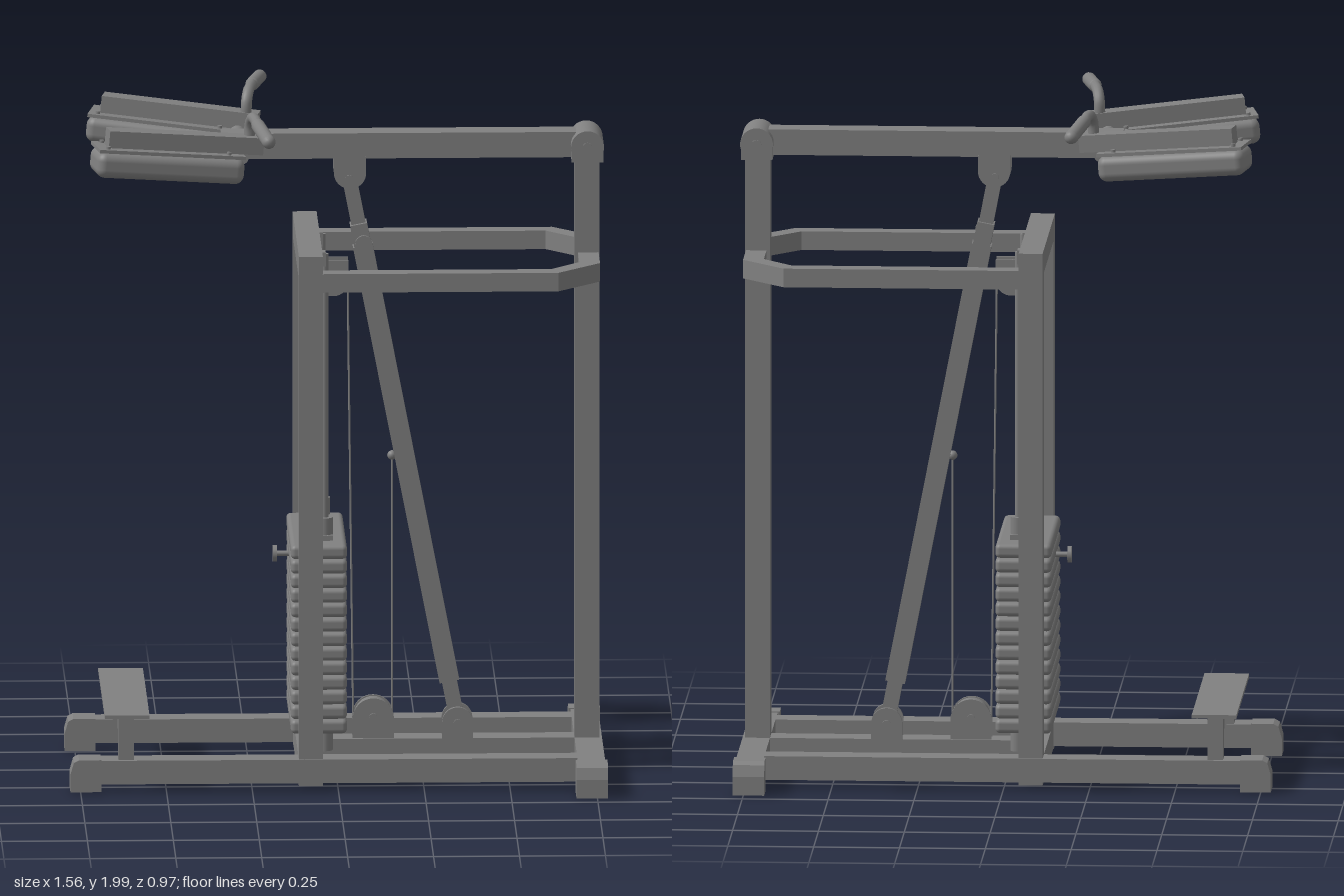
import * as THREE from 'three';
import { RoundedBoxGeometry } from 'three/addons/geometries/RoundedBoxGeometry.js';

const mat = new THREE.MeshStandardMaterial({ color: 0x808080 });
const V = (x, y, z) => new THREE.Vector3(x, y, z);

function add(parent, name, geo, x = 0, y = 0, z = 0) {
  const m = new THREE.Mesh(geo, mat);
  m.name = name;
  m.position.set(x, y, z);
  parent.add(m);
  return m;
}
// Box given by its limits on each axis
function box(parent, name, x0, x1, y0, y1, z0, z1) {
  return add(parent, name, new THREE.BoxGeometry(x1 - x0, y1 - y0, z1 - z0), (x0 + x1) / 2, (y0 + y1) / 2, (z0 + z1) / 2);
}
// Lay a part that is modelled along y between two points
function span(m, a, b) {
  m.position.copy(a).lerp(b, 0.5);
  m.quaternion.setFromUnitVectors(V(0, 1, 0), b.clone().sub(a).normalize());
}
// Round bar between two points
function rod(parent, name, a, b, r, sides = 20) {
  span(add(parent, name, new THREE.CylinderGeometry(r, r, a.distanceTo(b), sides)), a, b);
}
// Square tube between two points
function beam(parent, name, a, b, w, d) {
  span(add(parent, name, new THREE.BoxGeometry(w, a.distanceTo(b), d)), a, b);
}
// Outline in xy pulled along z, centred on z
function slab(parent, name, pts, depth, z = 0) {
  const geo = new THREE.ExtrudeGeometry(new THREE.Shape(pts.map(p => new THREE.Vector2(...p))), { depth, bevelEnabled: false });
  return add(parent, name, geo, 0, 0, z - depth / 2);
}
// Plate with a straight end at y0 and a round end about (x, y); works up or down
function lug(parent, name, x, y, r, y0, depth, z = 0) {
  const s = y > y0 ? 1 : -1, pts = [[x - r, y0], [x + r, y0]];
  for (let i = 0; i <= 16; i++) {
    const a = Math.PI * i / 16;
    pts.push([x + r * Math.cos(a), y + s * r * Math.sin(a)]);
  }
  slab(parent, name, pts, depth, z);
}

export function createModel() {
  const g = new THREE.Group();
  g.name = 'calfRaiseMachine';

  // Base frame
  box(g, 'rearFootBar', 0.695, 0.775, 0.02, 0.1, -0.38, 0.38);
  box(g, 'baseCrossMember', -0.115, -0.045, 0.025, 0.1, -0.26, 0.26);
  box(g, 'baseCentreRail', -0.045, 0.695, 0.03, 0.1, -0.038, 0.038);
  for (const s of [-1, 1]) {
    box(g, 'baseSideRail', -0.7, 0.695, 0.03, 0.1, s * 0.29 - 0.038, s * 0.29 + 0.038);
    slab(g, 'frontFootCap', [[-0.78, 0.008], [-0.69, 0.008], [-0.69, 0.103], [-0.755, 0.103], [-0.77, 0.095], [-0.78, 0.06]], 0.084, s * 0.29);
    const cap = slab(g, 'rearFootCap', [[0.365, 0.005], [0.447, 0.005], [0.447, 0.06], [0.437, 0.093], [0.425, 0.103], [0.365, 0.103]], 0.092);
    cap.rotation.y = -s * Math.PI / 2;
    cap.position.set(0.735 + s * 0.046, 0, 0);

    // Uprights of the weight tower and step legs
    box(g, 'towerUpright', -0.115, -0.045, 0.02, 1.59, s * 0.29 - 0.031, s * 0.29 + 0.031);
    box(g, 'stepLeg', -0.64, -0.595, 0.1, 0.226, s * 0.285 - 0.03, s * 0.285 + 0.03);
    box(g, 'stepLegBracket', -0.64, -0.595, 0.18, 0.226, s * 0.25 - 0.012, s * 0.25 + 0.012);
  }
  box(g, 'stepPlate', -0.68, -0.55, 0.225, 0.236, -0.333, 0.333);
  box(g, 'towerTopBar', -0.115, -0.045, 1.525, 1.593, -0.322, 0.322);

  // Rear mast and pivot hub
  box(g, 'rearMast', 0.695, 0.767, 0.1, 1.82, -0.038, 0.038);
  lug(g, 'pivotSaddle', 0.732, 1.862, 0.046, 1.816, 0.146);
  rod(g, 'pivotHub', V(0.732, 1.862, -0.077), V(0.732, 1.862, 0.077), 0.048, 32);
  rod(g, 'pivotPin', V(0.732, 1.862, -0.081), V(0.732, 1.862, 0.081), 0.014);

  // Guard rail around the back of the machine
  const rail = (x0, xc, xb, zo, zc) => [[x0, zo], [xc, zo], [xb, zc], [xb, -zc], [xc, -zo], [x0, -zo]];
  const outer = rail(-0.046, 0.64, 0.765, 0.324, 0.19), inner = rail(-0.046, 0.62, 0.705, 0.27, 0.175);
  const loop = slab(g, 'guardRail', [...outer, ...inner.reverse()], 0.055);
  loop.rotation.x = -Math.PI / 2;
  loop.position.set(0, 1.487, 0);

  // Lever arm with cross tube
  box(g, 'leverArm', -0.333, 0.7, 1.825, 1.9, -0.038, 0.038);
  rod(g, 'padCrossTube', V(-0.28, 1.862, -0.18), V(-0.28, 1.862, 0.18), 0.024);

  // Shoulder pads and handles
  for (const s of [-1, 1]) {
    const pad = new THREE.Group();
    pad.name = 'shoulderPad';
    pad.position.set(-0.495, 1.847, s * 0.218);
    pad.rotation.set(0, s * 0.175, -0.09, 'YZX');
    add(pad, 'padCushion', new RoundedBoxGeometry(0.44, 0.076, 0.135, 4, 0.026));
    add(pad, 'padBackingPlate', new THREE.BoxGeometry(0.435, 0.01, 0.13), 0, 0.043, 0);
    add(pad, 'padSupportBar', new THREE.BoxGeometry(0.46, 0.05, 0.062), 0.045, 0.073, 0);
    for (const x of [-0.19, 0.17]) for (const z of [-0.047, 0.047])
      add(pad, 'padBolt', new THREE.CylinderGeometry(0.007, 0.007, 0.01, 10), x, 0.051, z);
    g.add(pad);
    const path = new THREE.CatmullRomCurve3([V(-0.255, 1.89, s * 0.165), V(-0.253, 1.955, s * 0.168),
      V(-0.247, 1.98, s * 0.195), V(-0.238, 1.983, s * 0.25), V(-0.235, 1.98, s * 0.29)]);
    add(g, 'handleTube', new THREE.TubeGeometry(path, 24, 0.016, 12));
    const grip = add(g, 'handleGrip', new THREE.CapsuleGeometry(0.02, 0.175, 4, 16));
    span(grip, V(-0.236, 1.98, s * 0.275), V(-0.204, 1.964, s * 0.48));
  }

  // Diagonal push strut with brackets
  const top = V(0.04, 1.765, 0), bottom = V(0.355, 0.145, 0);
  const along = t => top.clone().lerp(bottom, t);
  beam(g, 'strutTube', along(0.125), along(0.925), 0.058, 0.058);
  beam(g, 'strutUpperRod', along(0), along(0.13), 0.042, 0.042);
  beam(g, 'strutLowerRod', along(0.92), along(1), 0.044, 0.044);
  beam(g, 'strutCollar', along(0.085), along(0.13), 0.05, 0.066);
  for (const s of [-1, 1]) {
    lug(g, 'strutTopBracket', 0.042, 1.782, 0.047, 1.83, 0.012, s * 0.034);
    lug(g, 'strutBottomBracket', 0.355, 0.147, 0.045, 0.098, 0.012, s * 0.034);
    lug(g, 'lowerPulleyBracket', 0.11, 0.158, 0.06, 0.098, 0.008, s * 0.026);
    lug(g, 'upperPulleyBracket', -0.006, 1.458, 0.044, 1.52, 0.008, s * 0.024);
  }
  for (const p of [top, bottom])
    rod(g, 'strutPin', V(p.x, p.y, -0.045), V(p.x, p.y, 0.045), 0.012);
  rod(g, 'adjusterPin', V(0.08, 1.585, 0.02), V(0.08, 1.585, 0.1), 0.009);
  rod(g, 'adjusterKnob', V(0.08, 1.585, 0.1), V(0.08, 1.585, 0.11), 0.025);

  // Pulleys and cables
  for (const [x, y, r] of [[-0.012, 1.462, 0.05], [0.11, 0.162, 0.054]]) {
    rod(g, 'pulleyWheel', V(x, y, -0.016), V(x, y, 0.016), r, 32);
    rod(g, 'pulleyAxle', V(x, y, -0.036), V(x, y, 0.036), 0.012);
  }
  rod(g, 'cable', V(0.036, 1.46, 0), V(0.052, 0.16, 0), 0.003, 8);
  rod(g, 'cable', V(0.165, 0.16, 0), V(0.165, 0.93, 0), 0.003, 8);
  rod(g, 'cable', V(-0.055, 0.74, 0), V(-0.055, 1.46, 0), 0.003, 8);
  add(g, 'cableStop', new THREE.SphereGeometry(0.014, 16, 10), 0.165, 0.935, 0);
  rod(g, 'stackCableEnd', V(-0.055, 0.72, 0), V(-0.055, 0.775, 0), 0.013, 12);

  // Weight stack on guide rods
  const count = 13, pitch = 0.0432;
  for (let i = 0; i < count; i++)
    add(g, 'weightPlate', new RoundedBoxGeometry(0.164, pitch - 0.001, 0.478, 3, 0.014), -0.054, 0.156 + pitch * (i + 0.5), 0);
  box(g, 'stackTopPlate', -0.09, -0.012, 0.715, 0.732, -0.17, 0.17);
  for (const s of [-1, 1]) {
    const z = s * 0.14, x = -0.035;
    rod(g, 'guideRod', V(x, 0.1, z), V(x, 1.565, z), 0.011);
    rod(g, 'guideBushing', V(x, 0.72, z), V(x, 0.782, z), 0.024);
    rod(g, 'guideFoot', V(x, 0.09, z), V(x, 0.158, z), 0.024);
    box(g, 'guideTopClamp', -0.05, -0.032, 1.53, 1.572, z - 0.018, z + 0.018);
  }
  rod(g, 'selectorPin', V(-0.18, 0.645, 0), V(-0.12, 0.645, 0), 0.008);
  rod(g, 'selectorKnob', V(-0.182, 0.645, 0), V(-0.17, 0.645, 0), 0.024);
  return g;
}
